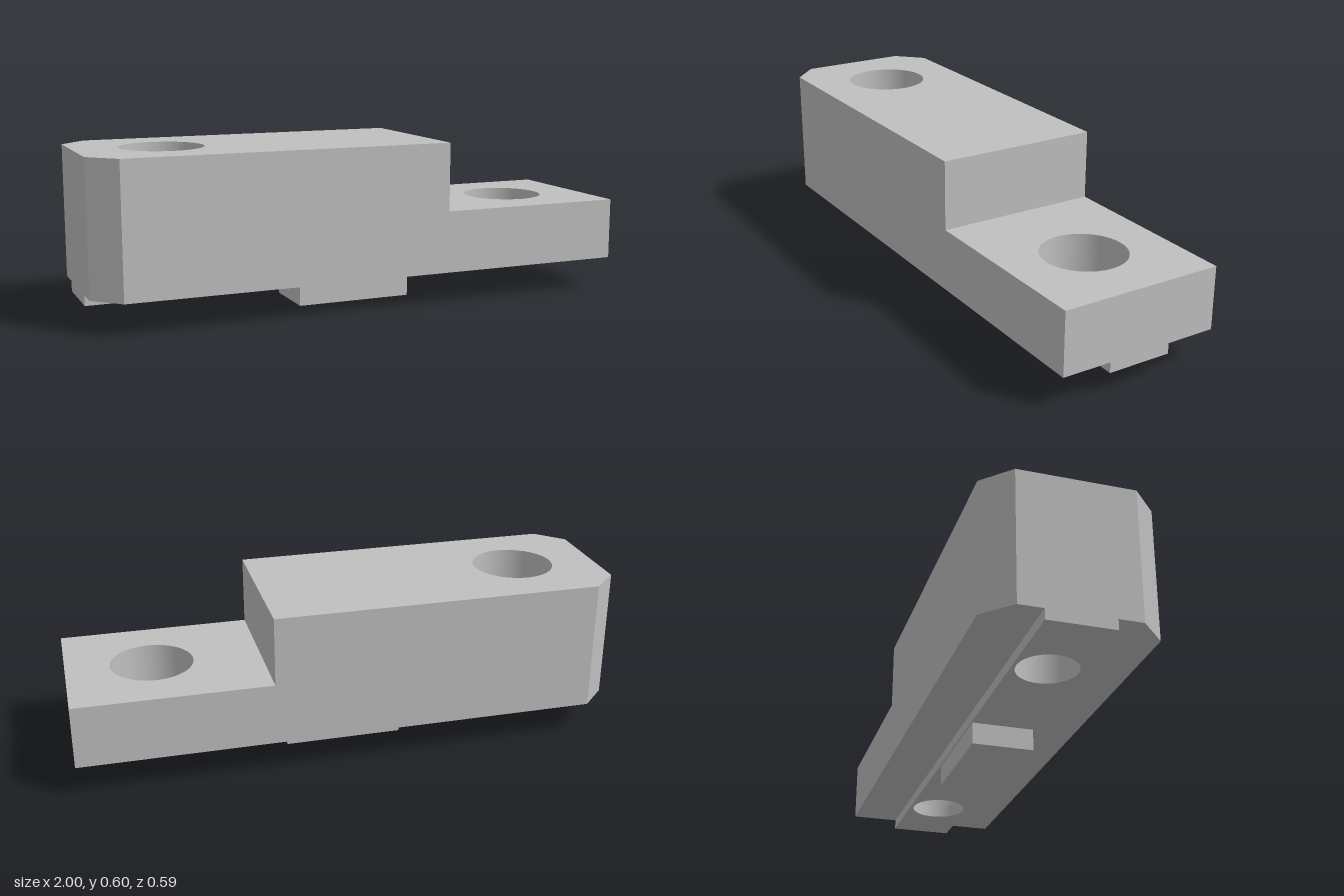
import * as THREE from 'three';

const STEP_X = 0.295;      // where the tall block drops to the low step
const BORE = 0.105;        // bolt hole radius
const COUNTERBORE = 0.15;  // bolt head recess radius
const HOLE_X = 0.69;
const HALF_Z = 0.297;

export function createModel() {
  const group = new THREE.Group();
  const steel = new THREE.MeshStandardMaterial({ color: 0xbfbfbf });
  steel.name = 'plain grey steel';

  // Horizontal slab from a plan outline, with round holes [x, radius], between two heights
  function slab(name, outline, holes, y0, y1) {
    const shape = new THREE.Shape(outline.map(([x, z]) => new THREE.Vector2(x, z)));
    for (const [x, r] of holes) {
      const path = new THREE.Path();
      path.absarc(x, 0, r, 0, Math.PI * 2, true);
      shape.holes.push(path);
    }
    const geometry = new THREE.ExtrudeGeometry(shape, {
      depth: y1 - y0, bevelEnabled: false, curveSegments: 64,
    });
    geometry.rotateX(-Math.PI / 2).translate(0, y0, 0);
    const mesh = new THREE.Mesh(geometry, steel);
    mesh.name = name;
    group.add(mesh);
  }

  const rect = (x0, x1, z) => [[x0, -z], [x1, -z], [x1, z], [x0, z]];

  // Tall block with two chamfered end corners, bored and counterbored
  const tall = [
    [-0.905, -HALF_Z], [STEP_X, -HALF_Z], [STEP_X, HALF_Z],
    [-0.905, HALF_Z], [-1, 0.203], [-1, -0.203],
  ];
  slab('tallBlockSeat', tall, [[-HOLE_X, BORE]], 0.117, 0.381);
  slab('tallBlockTop', tall, [[-HOLE_X, COUNTERBORE]], 0.381, 0.596);

  // Low step, bored and counterbored
  const low = rect(STEP_X, 1, HALF_Z);
  slab('lowStepSeat', low, [[HOLE_X, BORE]], 0.117, 0.13);
  slab('lowStepTop', low, [[HOLE_X, COUNTERBORE]], 0.13, 0.345);

  // Guide tongue along the underside, and the locating key below it
  slab('guideTongue', rect(-1, 1, 0.117), [[-HOLE_X, BORE], [HOLE_X, BORE]], 0.079, 0.117);
  slab('locatingKey', rect(-0.217, 0.217, 0.112), [], 0, 0.079);

  return group;
}
